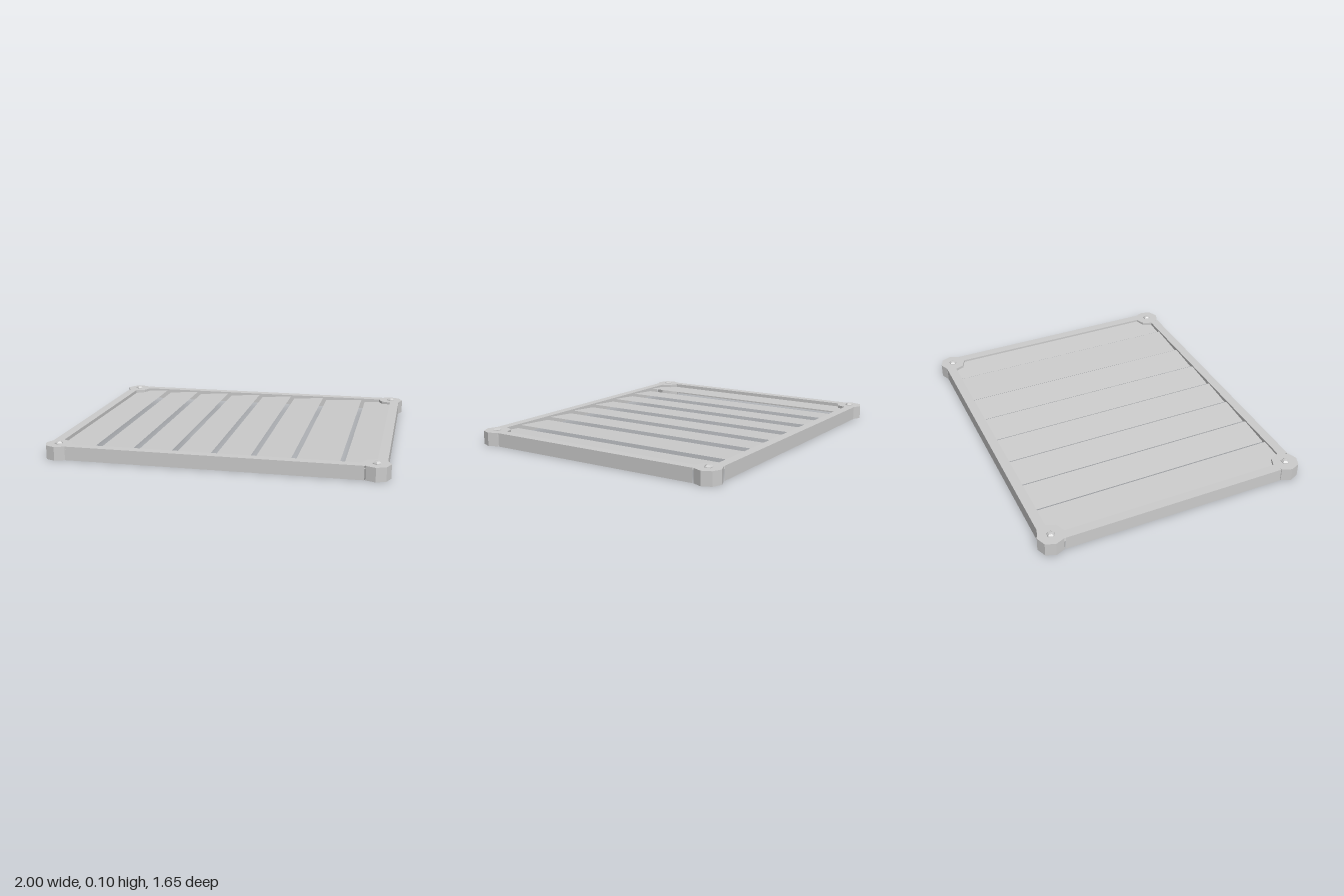
import * as THREE from 'three';

const POST_X = 0.92, POST_Z = 0.745, POST_R = 0.08;
const TOP = 0.082, RAIL_W = 0.057;
const SLAT_LOW = 0.058, SLAT_HIGH = 0.073;

const material = new THREE.MeshStandardMaterial({
  color: 0xcccccc, flatShading: true, side: THREE.DoubleSide,
});

function part(name, geometry) {
  const mesh = new THREE.Mesh(geometry, material);
  mesh.name = name;
  return mesh;
}

// Folded edge rail, open below: outer wall, top strip and a short inner lip
function makeRail(name, length, offset) {
  const rail = new THREE.Group();
  rail.name = name;
  const lipHeight = TOP - SLAT_LOW + 0.004;

  const wall = part('railWall', new THREE.PlaneGeometry(length, TOP));
  wall.position.set(0, TOP / 2, offset + RAIL_W);

  const strip = part('railTop', new THREE.PlaneGeometry(length, RAIL_W).rotateX(-Math.PI / 2));
  strip.position.set(0, TOP, offset + RAIL_W / 2);

  const lip = part('railLip', new THREE.PlaneGeometry(length, lipHeight).rotateY(Math.PI));
  lip.position.set(0, TOP - lipHeight / 2, offset);

  rail.add(wall, strip, lip);
  return rail;
}

// Louvred slat: low on its right-hand edge in x-, rising towards x+
function makeSlat(x0, x1) {
  const geometry = new THREE.PlaneGeometry(x1 - x0, 2 * (POST_Z + RAIL_W)).rotateX(-Math.PI / 2);
  const pos = geometry.attributes.position;
  for (let i = 0; i < pos.count; i++) {
    pos.setY(i, pos.getX(i) < 0 ? SLAT_LOW : SLAT_HIGH);
  }
  geometry.computeVertexNormals();
  geometry.translate((x0 + x1) / 2, 0, 0);
  return part('slat', geometry);
}

export function createModel() {
  const model = new THREE.Group();
  model.name = 'slattedPlatform';

  // Rails along the four sides, running between the posts
  const inset = 0.062;
  const longLength = 2 * (POST_X - inset), shortLength = 2 * (POST_Z - inset);
  const rails = [
    ['frontRail', longLength, POST_Z], ['leftRail', shortLength, POST_X],
    ['backRail', longLength, POST_Z], ['rightRail', shortLength, POST_X],
  ];
  rails.forEach(([name, length, offset], i) => {
    const rail = makeRail(name, length, offset);
    rail.rotation.y = i * Math.PI / 2;
    model.add(rail);
  });

  // Octagonal corner posts, open below, each with a five-sided domed bolt
  const v = (x, y) => new THREE.Vector2(x, y);
  const postGeometry = new THREE.LatheGeometry([v(POST_R, 0), v(POST_R, TOP), v(0, TOP)], 8);
  const boltGeometry = new THREE.LatheGeometry(
    [v(0.026, TOP - 0.004), v(0.025, TOP + 0.004), v(0.015, TOP + 0.013), v(0, TOP + 0.015)], 5);
  for (const sx of [-1, 1]) {
    for (const sz of [-1, 1]) {
      const corner = new THREE.Group();
      corner.name = 'cornerPost';
      corner.add(part('post', postGeometry), part('bolt', boltGeometry));
      corner.position.set(sx * POST_X, 0, sz * POST_Z);
      model.add(corner);
    }
  }

  // Slats separated by narrow gaps; the outer two tuck under the side rails
  const gapStarts = [-0.704, -0.474, -0.244, -0.014, 0.216, 0.446, 0.718];
  const gap = 0.023, edge = POST_X + RAIL_W;
  let start = -edge;
  for (const end of [...gapStarts, edge]) {
    model.add(makeSlat(start, end));
    start = end + gap;
  }

  return model;
}
